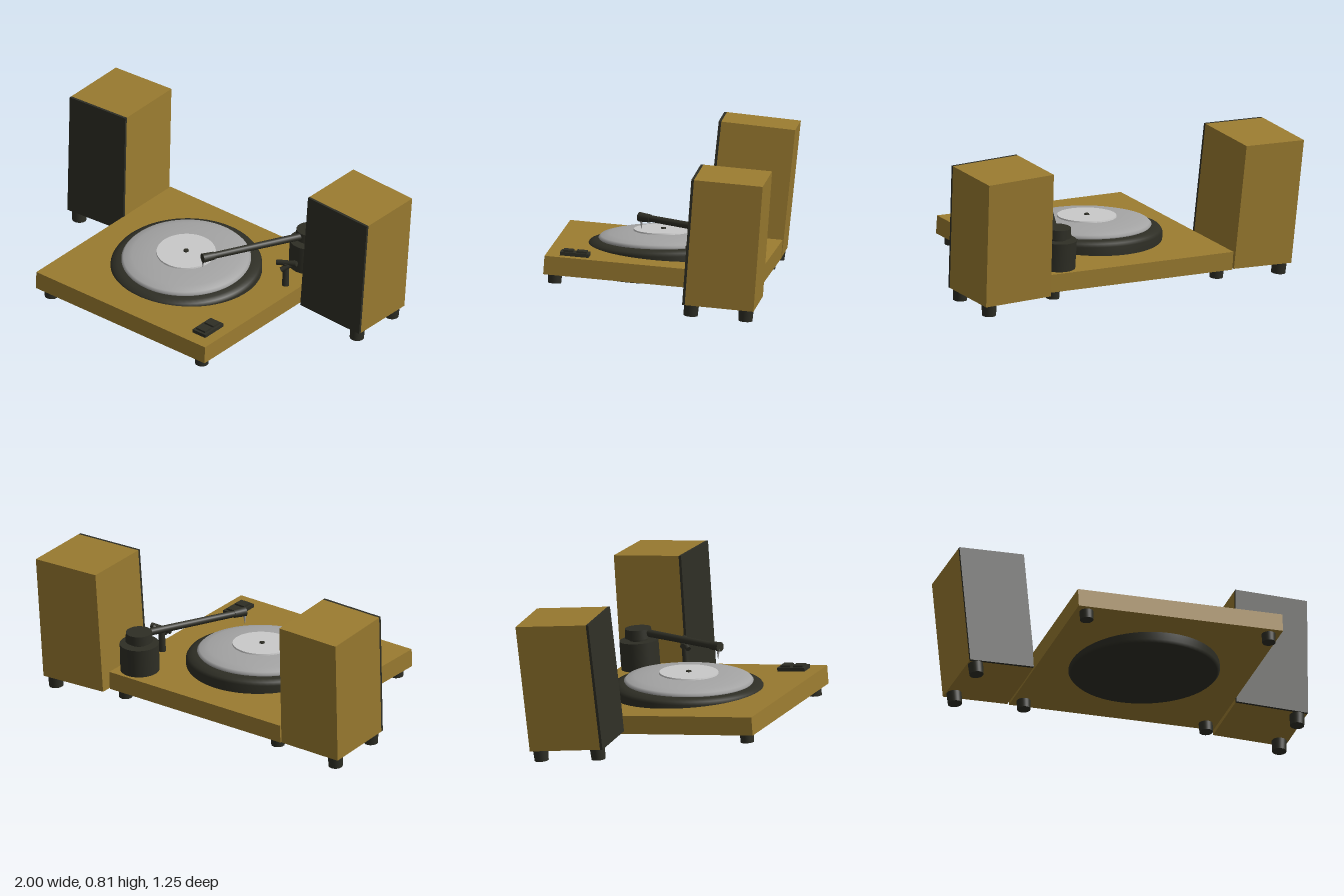
import * as THREE from 'three';

const mat = (name, color) => Object.assign(new THREE.MeshStandardMaterial({ color }), { name });

export function createModel() {
  const wood = mat('ochre wood', 0x9a7b30);
  const dark = mat('charcoal', 0x2e2e25);
  const silver = mat('silver', 0xa4a4a4);
  const pale = mat('pale label', 0xc9c9c9);
  const root = new THREE.Group();
  root.name = 'recordPlayerSet';

  const add = (parent, name, geo, material, x, y, z) => {
    const m = new THREE.Mesh(geo, material);
    m.name = name;
    m.position.set(x, y, z);
    parent.add(m);
    return m;
  };
  const group = (name, pos, rot) => {
    const g = new THREE.Group();
    g.name = name;
    g.position.set(...pos);
    g.rotation.set(...rot);
    root.add(g);
    return g;
  };
  const box = (w, h, d) => new THREE.BoxGeometry(w, h, d);
  const cyl = (rTop, rBottom, h, n = 28) => new THREE.CylinderGeometry(rTop, rBottom, h, n);
  const lathe = (pts) => new THREE.LatheGeometry(pts.map(([r, y]) => new THREE.Vector2(r, y)), 72);
  // Round bar between two points
  const bar = (parent, name, a, b, ra, rb, material) => {
    const p = new THREE.Vector3(...a), q = new THREE.Vector3(...b);
    const d = q.clone().sub(p);
    const m = add(parent, name, cyl(rb, ra, d.length(), 16), material, 0, 0, 0);
    m.position.copy(p).add(q).multiplyScalar(0.5);
    m.quaternion.setFromUnitVectors(new THREE.Vector3(0, 1, 0), d.normalize());
    return m;
  };

  // Plinth, slightly tilted, with four feet
  const base = group('turntableBase', [-0.028, 0.13, 0.034], [-0.0717, -0.034, 0.021]);
  add(base, 'plinth', box(1.155, 0.1, 1.145), wood, 0, 0.05, 0);
  for (const sx of [-1, 1]) for (const sz of [-1, 1])
    add(base, 'baseFoot', cyl(0.038, 0.036, 0.055), dark, sx * 0.515, -0.0225, sz * 0.515);

  // Control panel with two buttons
  add(base, 'controlPanel', box(0.088, 0.022, 0.155), dark, 0.475, 0.108, 0.42);
  for (const s of [-1, 1])
    add(base, 'controlButton', box(0.062, 0.014, 0.055), dark, 0.475, 0.122, 0.42 + s * 0.036);

  // Tonearm column, neck and cap
  add(base, 'armColumn', cyl(0.105, 0.105, 0.17, 40), dark, 0.465, 0.17, -0.45);
  add(base, 'armNeck', cyl(0.05, 0.05, 0.04), dark, 0.465, 0.27, -0.45);
  add(base, 'armCap', cyl(0.07, 0.074, 0.05, 36), dark, 0.465, 0.295, -0.45);

  // Arm rest with a forked clip
  add(base, 'restPost', cyl(0.016, 0.02, 0.14, 16), dark, 0.505, 0.165, -0.205);
  bar(base, 'restClip', [0.45, 0.225, -0.195], [0.56, 0.245, -0.225], 0.015, 0.015, dark);
  bar(base, 'restLever', [0.49, 0.2, -0.18], [0.545, 0.245, -0.235], 0.014, 0.014, dark);

  // Platter passing through the plinth, with domed disc, label and spindle
  const platter = group('platterGroup', [-0.035, 0, 0.028], [0, 0, 0.016]);
  add(platter, 'platter', lathe([[0, 0.085], [0.3, 0.092], [0.39, 0.1], [0.405, 0.115],
    [0.405, 0.25], [0.395, 0.266], [0.37, 0.276], [0.34, 0.28], [0, 0.28]]), dark, 0, 0, 0);
  add(platter, 'disc', lathe([[0.34, 0.276], [0.347, 0.287], [0.335, 0.3], [0.29, 0.312],
    [0.22, 0.321], [0.15, 0.326], [0, 0.328]]), silver, 0, 0, 0);
  add(platter, 'label', cyl(0.158, 0.16, 0.008, 56), pale, 0, 0.329, 0);
  add(platter, 'spindle', cyl(0.013, 0.015, 0.01, 20), dark, 0, 0.335, 0);

  // Tonearm, head and stylus
  bar(root, 'tonearm', [0.43, 0.408, -0.36], [0.165, 0.432, 0.115], 0.02, 0.018, dark);
  bar(root, 'headshell', [0.185, 0.43, 0.08], [0.153, 0.433, 0.14], 0.022, 0.026, dark);
  bar(root, 'stylus', [0.15, 0.42, 0.13], [0.148, 0.367, 0.13], 0.009, 0.001, silver);

  // Speakers: wooden cabinet, full dark grille, feet along the outer side
  const speaker = (name, pos, rot, w, h, d, outer) => {
    const g = group(name, pos, rot);
    const t = 0.014;
    add(g, 'cabinet', box(w, h, d - t), wood, 0, 0, -t / 2);
    add(g, 'grille', box(w, h, t), dark, 0, 0, d / 2 - t / 2);
    for (const s of [-1, 1])
      add(g, 'speakerFoot', cyl(0.041, 0.038, 0.065), dark,
        outer * (w / 2 - 0.047), -h / 2 - 0.03, s * (d / 2 - 0.045));
  };
  speaker('leftSpeaker', [0.785, 0.447, -0.385], [-0.075, -0.037, -0.02], 0.405, 0.685, 0.385, 1);
  speaker('rightSpeaker', [-0.797, 0.433, -0.386], [-0.1, 0, 0.052], 0.37, 0.69, 0.412, -1);

  return root;
}
